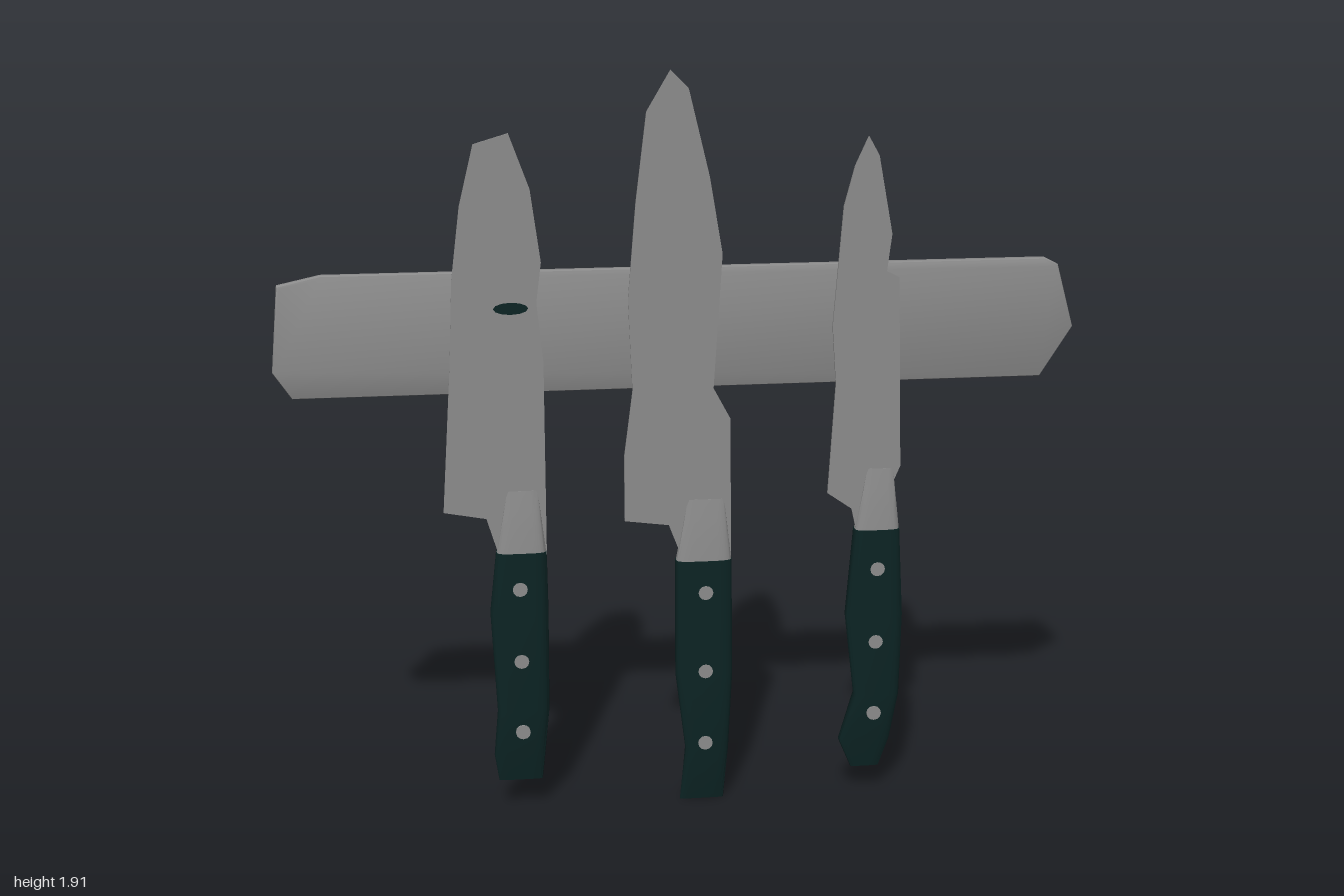
import * as THREE from 'three';
import { toCreasedNormals } from 'three/addons/utils/BufferGeometryUtils.js';

const mat = (name, color) => new THREE.MeshStandardMaterial({ name, color });
const steel = mat('steel', 0x8c8c8c);
const grip = mat('darkGreenGrip', 0x0c2424);

function add(parent, name, geo, material) {
  const mesh = new THREE.Mesh(geo, material);
  mesh.name = name;
  parent.add(mesh);
  return mesh;
}

// Extrude a closed outline from z0 forward by depth
function plate(shape, z0, depth, bevel = 0) {
  return new THREE.ExtrudeGeometry(shape, {
    depth: depth - 2 * bevel, bevelEnabled: bevel > 0, bevelSize: bevel,
    bevelThickness: bevel, bevelOffset: -bevel, bevelSegments: 2,
  }).translate(0, 0, z0 + bevel);
}

// Rounded-box cross-sections stacked upward
function loft(levels, sides = 20) {
  const pos = [], index = [];
  const soft = (v) => Math.sign(v) * Math.abs(v) ** 0.55;
  for (const { y, x0, x1, half, z } of levels) {
    for (let i = 0; i < sides; i++) {
      const a = (i / sides) * Math.PI * 2;
      pos.push((x0 + x1) / 2 + soft(Math.cos(a)) * (x1 - x0) / 2, y, z + soft(Math.sin(a)) * half);
    }
  }
  const top = (levels.length - 1) * sides;
  for (let a = 0; a < top; a += sides) {
    for (let i = 0; i < sides; i++) {
      const j = (i + 1) % sides, b = a + sides;
      index.push(a + i, b + i, a + j, a + j, b + i, b + j);
    }
  }
  for (let i = 1; i < sides - 1; i++) {
    index.push(0, i, i + 1, top, top + i + 1, top + i);
  }
  const geo = new THREE.BufferGeometry();
  geo.setAttribute('position', new THREE.Float32BufferAttribute(pos, 3));
  geo.setIndex(index);
  return toCreasedNormals(geo, 0.7);
}

// Blade outline: the heel and spine go up the left, the edge comes down the right
function bladeShape(left, right) {
  const shape = new THREE.Shape();
  left.forEach(([x, y], i) => (i ? shape.lineTo(x, y) : shape.moveTo(x, y)));
  right.forEach(([x, y]) => shape.lineTo(x, y));
  return shape;
}

// Grip levels [y, left x, right x] thin out toward the butt
function handleLevels(levels) {
  return levels.map(([y, x0, x1]) => {
    const t = Math.min(1, (y - levels[0][0]) / 0.16);
    return { y, x0, x1, half: 0.005 + 0.021 * t, z: -0.008 * (1 - t) };
  });
}

// Bolster slims from the top of the grip into the blade
function bolsterLevels([y, x0, x1]) {
  return [0, 0.4, 0.7, 1].map((t) => ({
    y: y - 0.01 + 0.17 * t, x0: x0 + 0.03 * t, x1: x1 - 0.02 * t,
    half: 0.025 - 0.021 * t ** 1.3, z: 0.004 * t,
  }));
}

function makeKnife(name, left, right, handle, rivetX, rivetYs) {
  const knife = new THREE.Group();
  knife.name = name;
  add(knife, 'blade', plate(bladeShape(left, right), 0.001, 0.006), steel);
  add(knife, 'bolster', loft(bolsterLevels(handle.at(-1))), steel);
  add(knife, 'handle', loft(handleLevels(handle)), grip);
  // Rivets pass through and show on both faces
  for (const y of rivetYs) {
    const rivet = add(knife, 'rivet', new THREE.CylinderGeometry(0.019, 0.019, 0.054, 12), steel);
    rivet.rotation.x = Math.PI / 2;
    rivet.position.set(rivetX, y, 0);
  }
  return knife;
}

function squareTipKnife() {
  const left = [[-0.46, 0.7], [-0.49, 0.8], [-0.596, 0.82], [-0.57, 1.2], [-0.56, 1.41], [-0.537, 1.59], [-0.5, 1.74]];
  const right = [[-0.415, 1.765], [-0.366, 1.63], [-0.342, 1.45], [-0.355, 1.35], [-0.34, 1.2], [-0.34, 0.7]];
  const handle = [[0.08, -0.473, -0.36], [0.155, -0.484, -0.352], [0.28, -0.473, -0.34],
    [0.55, -0.486, -0.338], [0.71, -0.468, -0.34]];
  return makeKnife('squareTipKnife', left, right, handle, -0.41, [0.615, 0.42, 0.225]);
}

function chefKnife() {
  const left = [[0.01, 0.66], [-0.03, 0.765], [-0.142, 0.78], [-0.142, 0.95], [-0.12, 1.12],
    [-0.13, 1.35], [-0.11, 1.59], [-0.083, 1.81], [-0.024, 1.91]];
  const right = [[0.02, 1.865], [0.072, 1.65], [0.104, 1.46], [0.083, 1.12], [0.126, 1.04], [0.13, 0.66]];
  const handle = [[0, 0, 0.115], [0.15, 0.013, 0.126], [0.36, -0.013, 0.136], [0.67, -0.013, 0.132]];
  return makeKnife('chefKnife', left, right, handle, 0.063, [0.585, 0.37, 0.17]);
}

function utilityKnife() {
  const left = [[0.456, 0.72], [0.44, 0.79], [0.377, 0.834], [0.393, 1.12], [0.382, 1.27], [0.404, 1.57], [0.43, 1.67]];
  const right = [[0.463, 1.743], [0.49, 1.695], [0.527, 1.5], [0.516, 1.406], [0.548, 1.39],
    [0.564, 0.9], [0.545, 0.855], [0.564, 0.72]];
  const handle = [[0.068, 0.455, 0.53], [0.15, 0.42, 0.556], [0.28, 0.457, 0.576],
    [0.5, 0.43, 0.58], [0.735, 0.448, 0.566]];
  return makeKnife('utilityKnife', left, right, handle, 0.508, [0.63, 0.43, 0.23]);
}

// Wall bar with clipped, slightly uneven ends
function magneticBar() {
  const left = [[-0.955, 1.123], [-1, 1.19], [-0.98, 1.405], [-0.875, 1.428]];
  const right = [[0.92, 1.428], [0.955, 1.41], [1, 1.25], [0.92, 1.123]];
  return toCreasedNormals(plate(bladeShape(left, right), -0.027, 0.028, 0.007), 0.6);
}

export function createModel() {
  const model = new THREE.Group();
  model.name = 'knifeRack';
  add(model, 'magneticBar', magneticBar(), steel);
  model.add(squareTipKnife(), chefKnife(), utilityKnife());

  // Small dark mark on the square-tipped blade
  const mark = add(model, 'bladeMark', new THREE.CylinderGeometry(1, 1, 0.002, 12), grip);
  mark.scale.set(0.043, 1, 0.015);
  mark.rotation.x = Math.PI / 2;
  mark.position.set(-0.418, 1.337, 0.0075);
  return model;
}
